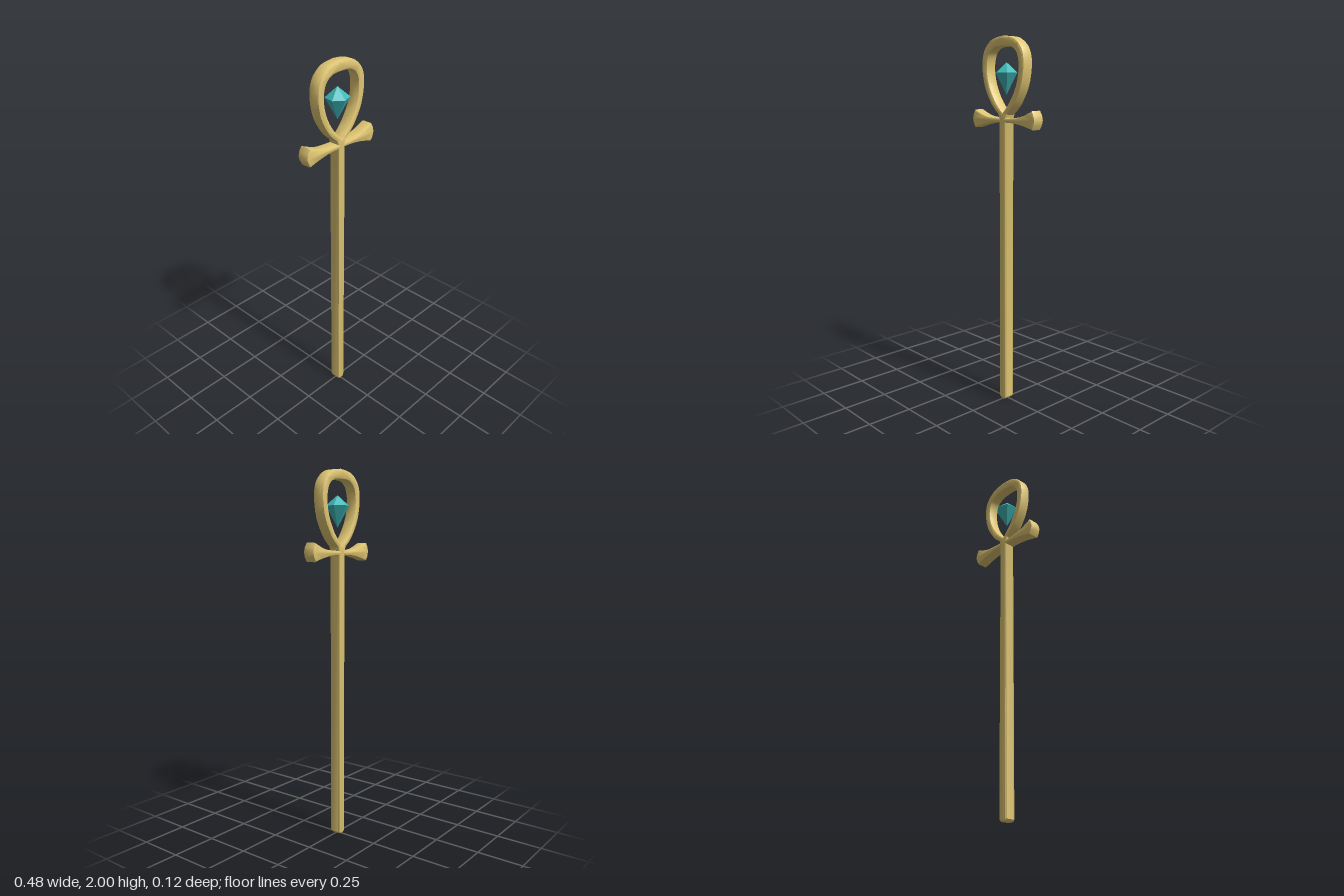
import * as THREE from 'three';
import { toCreasedNormals } from 'three/addons/utils/BufferGeometryUtils.js';

const DEPTH = 0.067;
const gold = new THREE.MeshStandardMaterial({ color: 0xe0c673 });
const teal = new THREE.MeshStandardMaterial({ color: 0x3fb9b9, flatShading: true });

const vec = ([x, y]) => new THREE.Vector2(x, y);

// Mirror a right-hand half outline (bottom to top) into a closed one
const mirrored = (half) => {
  const left = half.filter((p) => p.x > 1e-4).reverse().map((p) => new THREE.Vector2(-p.x, p.y));
  return half.concat(left);
};

// Smooth curve through a few points
const smooth = (pts, n) => new THREE.SplineCurve(pts.map(vec)).getPoints(n);

// Bevelled plate whose outline and depth are the finished sizes
function plate(name, shape, bevel) {
  const g = new THREE.ExtrudeGeometry(shape, {
    depth: DEPTH - 2 * bevel, bevelEnabled: true, bevelThickness: bevel,
    bevelSize: bevel, bevelOffset: -bevel, bevelSegments: 2, steps: 1,
  });
  g.translate(0, 0, -DEPTH / 2 + bevel);
  const mesh = new THREE.Mesh(toCreasedNormals(g, 0.7), gold);
  mesh.name = name;
  return mesh;
}

export function createModel() {
  const group = new THREE.Group();
  group.name = 'loopedStaff';

  // Shaft, flaring into a small wedge under the loop
  const shaft = mirrored([
    [0.013, 0], [0.024, 0.012], [0.024, 1.575], [0.036, 1.61],
  ].map(vec));
  group.add(plate('shaft', new THREE.Shape(shaft), 0.011));

  // Crossbar with flared ends
  const lower = smooth([[0, 1.558], [0.07, 1.556], [0.14, 1.546], [0.22, 1.526]], 12);
  const upper = smooth([[0.22, 1.623], [0.14, 1.592], [0.07, 1.583], [0, 1.581]], 12);
  const end = [[0.234, 1.55], [0.24, 1.575], [0.234, 1.6]].map(vec);
  group.add(plate('crossbar', new THREE.Shape(mirrored([...lower, ...end, ...upper])), 0.009));

  // Teardrop loop with its opening
  const outer = smooth([
    [0, 1.575], [0.04, 1.605], [0.09, 1.654], [0.142, 1.745],
    [0.161, 1.85], [0.145, 1.93], [0.085, 1.985], [0, 2],
  ], 32);
  const inner = smooth([
    [0, 1.61], [0.055, 1.67], [0.1, 1.75], [0.118, 1.835],
    [0.105, 1.905], [0.062, 1.94], [0, 1.946],
  ], 32);
  const loop = new THREE.Shape(mirrored(outer));
  loop.holes.push(new THREE.Path(mirrored(inner)));
  group.add(plate('loop', loop, 0.013));

  // Six-sided gem floating in the loop
  const gem = new THREE.Mesh(
    new THREE.LatheGeometry([[0, 1.7], [0.063, 1.814], [0, 1.868]].map(vec), 6, THREE.MathUtils.degToRad(-10)),
    teal,
  );
  gem.name = 'gem';
  group.add(gem);

  return group;
}
